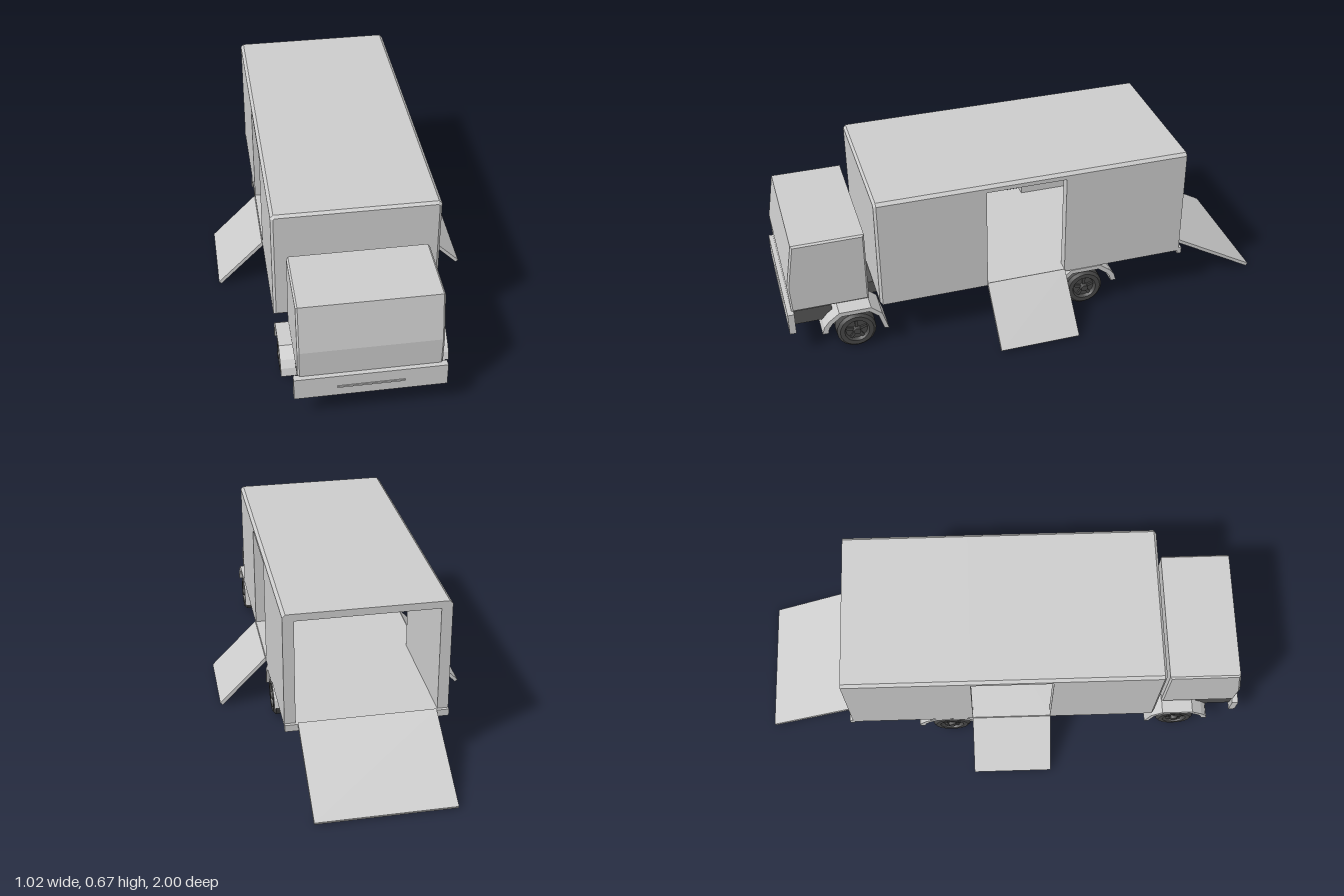
import * as THREE from 'three';
import { toCreasedNormals } from 'three/addons/utils/BufferGeometryUtils.js';

const grey = new THREE.MeshStandardMaterial({ color: 0xcccccc });
const frameDark = new THREE.MeshStandardMaterial({ color: 0x555555 });
const rubber = new THREE.MeshStandardMaterial({ color: 0x484848 });

const polygon = (points) => new THREE.Shape(points.map(([x, y]) => new THREE.Vector2(x, y)));

function add(parent, name, geometry, material = grey, x = 0, y = 0, z = 0) {
  const mesh = new THREE.Mesh(geometry, material);
  mesh.name = name;
  mesh.position.set(x, y, z);
  parent.add(mesh);
  return mesh;
}

// Box given by its low and high corners
function block(parent, name, [x0, y0, z0], [x1, y1, z1], material = grey) {
  const g = new THREE.BoxGeometry(x1 - x0, y1 - y0, z1 - z0);
  return add(parent, name, g, material, (x0 + x1) / 2, (y0 + y1) / 2, (z0 + z1) / 2);
}

// Side outline (z, y) swept across the width, centred on x = 0
function sweepAcross(points, width, bevel = 0) {
  const g = new THREE.ExtrudeGeometry(polygon(points), {
    depth: width - 2 * bevel, bevelEnabled: bevel > 0, bevelSize: bevel,
    bevelThickness: bevel, bevelOffset: -bevel, bevelSegments: 1,
  });
  return g.translate(0, 0, bevel - width / 2).rotateY(-Math.PI / 2);
}

// Cargo box: chamfered section extruded along z, doorway gaps in the middle
function cargoBox() {
  const box = new THREE.Group();
  box.name = 'cargoBox';
  const W = 0.318, I = 0.275, floor = 0.195, top = 0.669, c = 0.012;
  const outline = [[-W, floor], [W, floor], [W, top - c], [W - c, top], [c - W, top], [-W, top - c]];
  const section = (name, z0, z1) => {
    const shape = polygon(outline);
    shape.holes.push(polygon([[-I, 0.207], [-I, 0.64], [I, 0.64], [I, 0.207]]));
    add(box, name, new THREE.ExtrudeGeometry(shape, { depth: z1 - z0, bevelEnabled: false }), grey, 0, 0, z0);
  };
  section('rearBoxSection', -0.635, -0.13);
  section('frontBoxSection', 0.195, 0.6);
  block(box, 'doorwayFloor', [-W, floor, -0.13], [W, 0.207, 0.195]);
  const roof = polygon([[-W, 0.64], [W, 0.64], ...outline.slice(2)]);
  add(box, 'doorwayRoof', new THREE.ExtrudeGeometry(roof, { depth: 0.325, bevelEnabled: false }), grey, 0, 0, -0.13);
  // Front wall with a chamfered rim
  const wall = new THREE.ExtrudeGeometry(polygon(outline), {
    depth: 0.025, bevelThickness: 0.01, bevelSize: 0.01, bevelOffset: -0.01, bevelSegments: 1,
  });
  // Flatten the bevel on the inner side so the wall meets the sections
  const p = wall.attributes.position;
  for (let i = 0; i < p.count; i++) if (p.getZ(i) < 0) p.setZ(i, 0);
  add(box, 'frontWall', wall, grey, 0, 0, 0.6);
  block(box, 'rearSill', [-W, 0.18, -0.648], [W, 0.208, -0.63]);
  return box;
}

// Twin-tread wheel with a recessed hub; side = +1 or -1
function wheel(side) {
  const w = new THREE.Group();
  w.name = 'wheel';
  const profile = [
    [0.001, -0.062], [0.05, -0.064], [0.068, -0.064], [0.079, -0.054], [0.081, -0.014],
    [0.07, -0.004], [0.07, 0.004], [0.081, 0.014], [0.079, 0.054], [0.068, 0.064],
    [0.05, 0.064], [0.044, 0.05], [0.001, 0.05],
  ].map(([r, y]) => new THREE.Vector2(r, y));
  const tyre = toCreasedNormals(new THREE.LatheGeometry(profile, 20), 0.4);
  add(w, 'tyre', tyre.rotateZ(-Math.PI / 2), rubber);
  add(w, 'hub', new THREE.CylinderGeometry(0.014, 0.018, 0.022, 12).rotateZ(-Math.PI / 2), rubber, 0.058);
  for (let i = 0; i < 5; i++) {
    const spoke = add(w, 'spoke', new THREE.BoxGeometry(0.008, 0.034, 0.012).translate(0, 0.026, 0), rubber, 0.053);
    spoke.rotation.x = (i / 5) * Math.PI * 2;
  }
  w.rotation.y = side < 0 ? Math.PI : 0;
  return w;
}

// Bent mudguard, short on one end and long on the other; dir flips it along z
function fender(dir) {
  const outer = [[0.137, 0.097], [0.128, 0.128], [0.108, 0.153], [0.065, 0.186],
    [-0.062, 0.186], [-0.105, 0.148], [-0.128, 0.07]];
  const inner = [[-0.11, 0.073], [-0.09, 0.138], [-0.055, 0.168],
    [0.058, 0.168], [0.094, 0.14], [0.109, 0.12], [0.114, 0.097]];
  const pts = [...outer, ...inner].map(([z, y]) => [z * dir, y]);
  return sweepAcross(pts, 0.125);
}

// Flat ramp of given width from its hinge to the ground, along local +z
function ramp(parent, name, width, run, drop, position, turn) {
  const holder = new THREE.Group();
  holder.name = name;
  const length = Math.hypot(run, drop);
  const board = add(holder, name + 'Board', new THREE.BoxGeometry(width, 0.014, length).translate(0, 0, length / 2));
  board.rotation.x = Math.atan2(drop, run);
  holder.position.set(...position);
  holder.rotation.y = turn;
  parent.add(holder);
}

export function createModel() {
  const model = new THREE.Group();
  model.name = 'boxTruck';
  const truck = new THREE.Group();
  truck.name = 'truckBody';
  truck.position.x = -0.005;
  model.add(truck);
  truck.add(cargoBox());

  // Cab with a sloped windscreen
  const cab = [[0.67, 0.2], [0.978, 0.2], [0.984, 0.318], [0.953, 0.507], [0.67, 0.507]];
  add(truck, 'cab', sweepAcross(cab, 0.536, 0.007));

  // Front bumper with a thin raised strip
  block(truck, 'frontBumper', [-0.284, 0.107, 0.97], [0.284, 0.2, 0.996]);
  block(truck, 'bumperStrip', [-0.125, 0.146, 0.99], [0.125, 0.153, 1]);

  // Chassis pan, tapering to the rear
  const pan = polygon([[-0.16, -0.98], [0.16, -0.98], [0.16, -0.51], [0.05, -0.35], [-0.05, -0.35], [-0.16, -0.51]].reverse());
  const panGeo = new THREE.ExtrudeGeometry(pan, { depth: 0.055, bevelEnabled: false });
  // Plan outline is drawn as (x, -z), then laid flat
  const chassis = add(truck, 'chassis', panGeo.rotateX(-Math.PI / 2), frameDark, 0, 0.143, 0);
  chassis.castShadow = false;
  block(truck, 'cabFloor', [-0.262, 0.135, 0.82], [0.262, 0.2, 0.975], frameDark);

  // Wheels and mudguards
  for (const [end, z, dir] of [['front', 0.735, 1], ['rear', -0.222, -1]]) {
    for (const side of [-1, 1]) {
      const w = wheel(side);
      w.name = end + 'Wheel';
      w.position.set(side * 0.248, 0.085, z);
      truck.add(w);
      add(truck, end + 'Fender', fender(dir), grey, side * 0.255, 0.006, z);
    }
  }

  // Ramps at the rear and both side doorways
  ramp(model, 'rearRamp', 0.536, 0.352, 0.202, [-0.005, 0.21, -0.645], Math.PI);
  ramp(model, 'leftRamp', 0.327, 0.194, 0.197, [0.312, 0.205, 0.033], Math.PI / 2);
  ramp(model, 'rightRamp', 0.327, 0.186, 0.19, [-0.321, 0.2, 0.033], -Math.PI / 2);
  return model;
}
